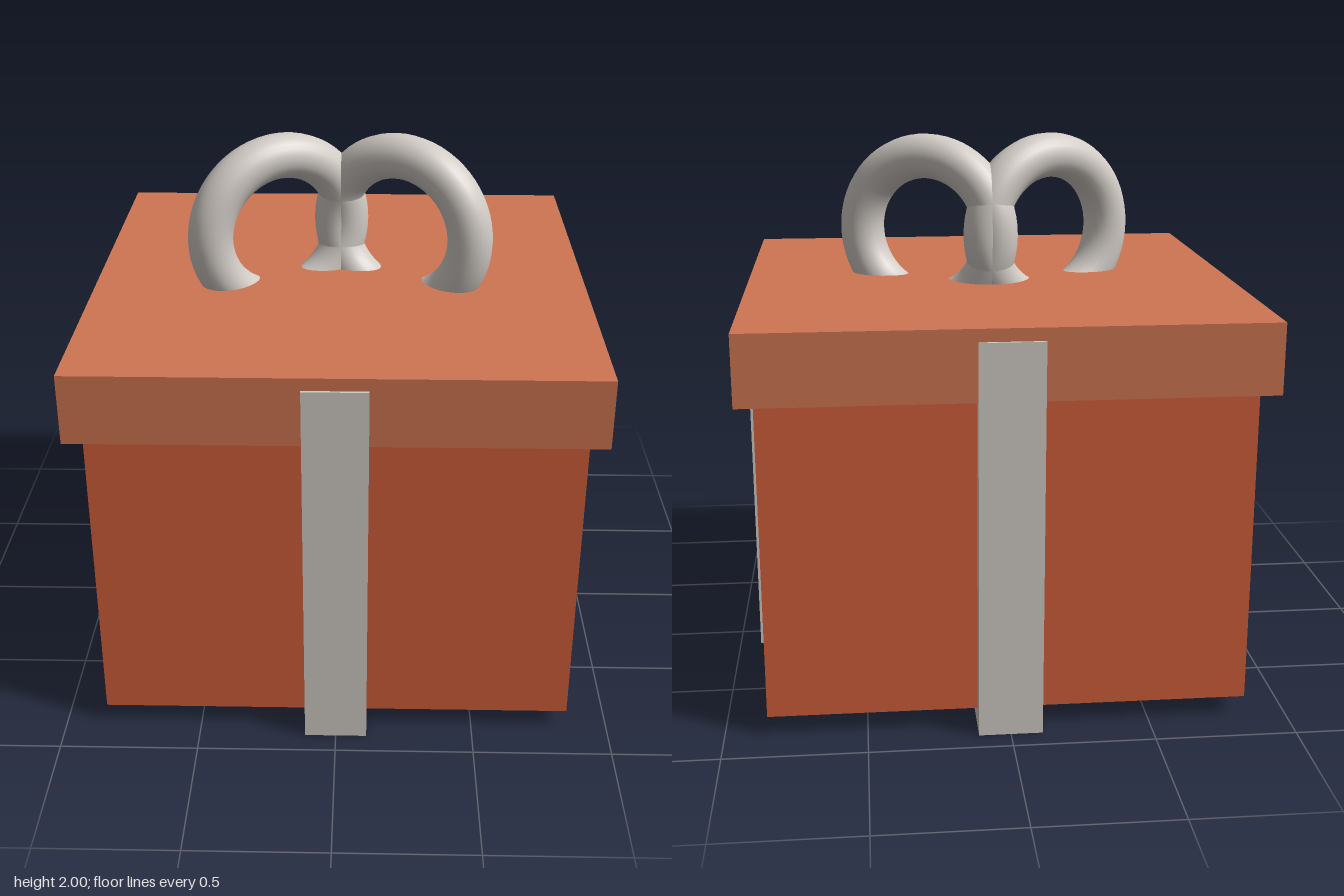
import * as THREE from 'three';

export function createModel() {
  const group = new THREE.Group();
  const mat = (name, color) => {
    const m = new THREE.MeshStandardMaterial({ color });
    m.name = name;
    return m;
  };
  const boxColor = mat('deep orange', 0xcf5e39);
  const lidColor = mat('soft orange', 0xce7552);
  const ribbonColor = mat('warm grey', 0xd1cbc5);

  const add = (name, geometry, material) => {
    const mesh = new THREE.Mesh(geometry, material);
    mesh.name = name;
    group.add(mesh);
    return mesh;
  };

  // Box body, running up inside the lid
  add('boxBody', new THREE.BoxGeometry(1.7, 1.2, 1.7), boxColor).position.y = 0.67;

  // Overhanging lid
  add('lid', new THREE.BoxGeometry(1.82, 0.25, 1.82), lidColor).position.y = 1.335;

  // Two crossing U-shaped ribbons wrapped under the box
  const w = 0.92, inner = 0.85, top = 1.415, width = 0.225;
  const band = new THREE.Shape([
    [-w, 0], [w, 0], [w, top], [inner, top], [inner, 0.07],
    [-inner, 0.07], [-inner, top], [-w, top],
  ].map(([x, y]) => new THREE.Vector2(x, y)));
  const bandGeometry = new THREE.ExtrudeGeometry(band, { depth: width, bevelEnabled: false });
  bandGeometry.translate(0, 0, -width / 2);
  add('ribbonAcross', bandGeometry, ribbonColor);
  add('ribbonFrontToBack', bandGeometry, ribbonColor).rotation.y = Math.PI / 2;

  // Bow: two angled rings that meet at the back and sink into the lid
  const ring = new THREE.TorusGeometry(0.281, 0.083, 24, 64);
  for (const side of [1, -1]) {
    const loop = add(side > 0 ? 'bowLoopLeft' : 'bowLoopRight', ring, ribbonColor);
    loop.position.set(side * 0.228, 1.636, 0);
    loop.rotation.y = -side * 0.497;
  }
  return group;
}
